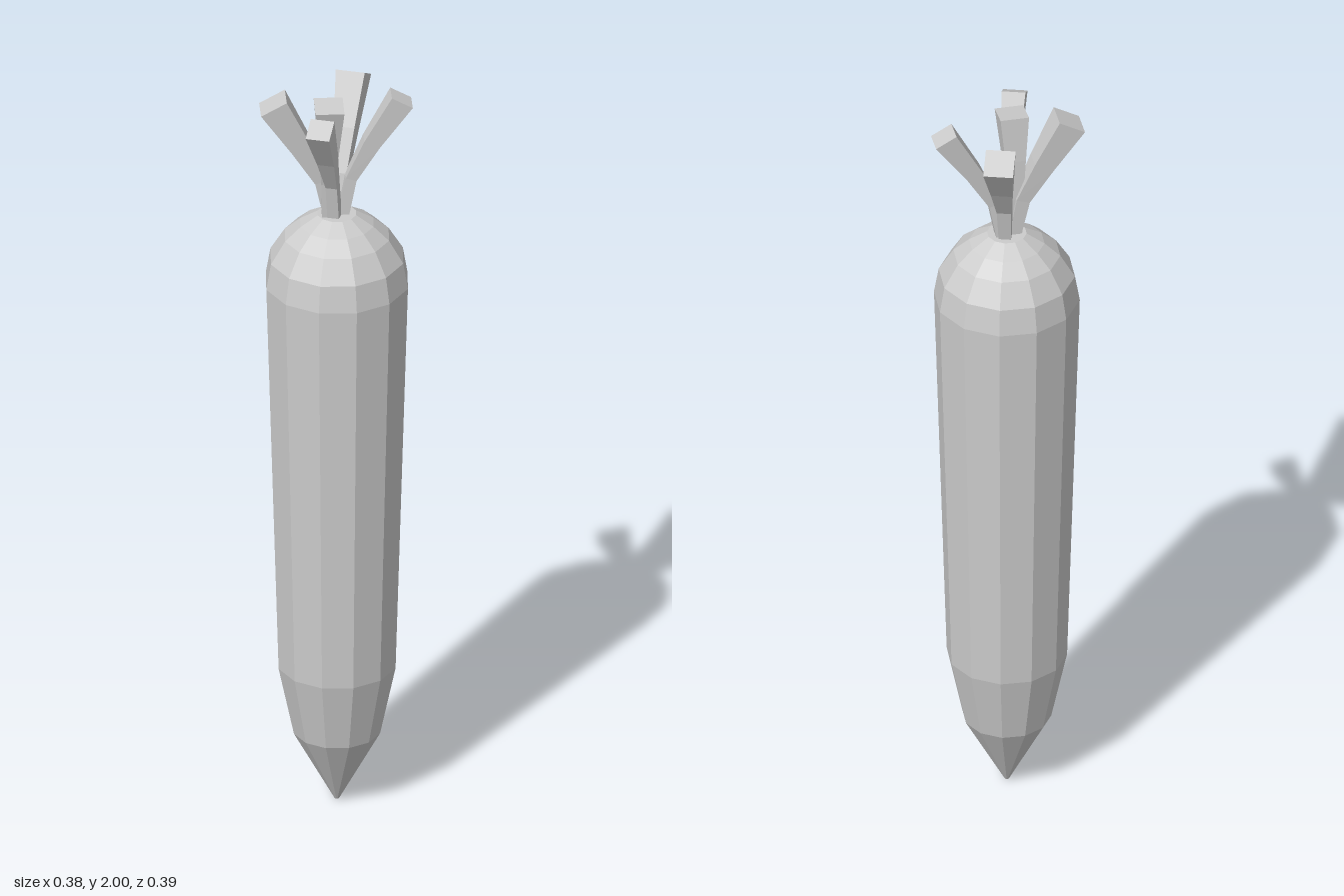
import * as THREE from 'three';

const material = new THREE.MeshStandardMaterial({ color: 0xcccccc, flatShading: true });
const rad = THREE.MathUtils.degToRad;

// Square stalk that widens and bends outward along local +x.
// Each row is [outward offset, height, width, tilt in degrees].
function makeStalk(name, yaw, rows, x = 0, z = 0) {
  const steps = rows.length - 1;
  const geometry = new THREE.BoxGeometry(1, 1, 1, 1, steps, 1);
  const p = geometry.attributes.position;
  for (let i = 0; i < p.count; i++) {
    const [out, y, width, tilt] = rows[Math.round((p.getY(i) + 0.5) * steps)];
    const across = p.getX(i) * width;
    p.setXYZ(i,
      out + across * Math.cos(rad(tilt)),
      y - across * Math.sin(rad(tilt)),
      p.getZ(i) * width);
  }
  geometry.computeVertexNormals();
  const mesh = new THREE.Mesh(geometry, material);
  mesh.name = name;
  mesh.rotation.y = rad(yaw);
  mesh.position.set(x, 0, z);
  return mesh;
}

// Rows of an outward-leaning stalk with a given tip reach and thickness
const leaning = (reach, width) => [
  [0.012, 1.64, 0.03, 8],
  [0.036, 1.76, width * 0.48, 18],
  [0.088, 1.86, width * 0.72, 28],
  [reach, 1.98, width, 29],
];

export function createModel() {
  const group = new THREE.Group();
  group.name = 'carrot';

  // Twelve-sided root: pointed tip, tapered body, domed shoulder
  const profile = [
    [0, 0], [0.006, 0.003], [0.112, 0.2], [0.152, 0.39], [0.184, 1.47],
    [0.172, 1.54], [0.135, 1.6], [0.095, 1.635], [0.05, 1.662], [0, 1.662],
  ].map(([r, y]) => new THREE.Vector2(r, y));
  const root = new THREE.Mesh(new THREE.LatheGeometry(profile, 12), material);
  root.name = 'root';
  root.position.x = 0.002;
  group.add(root);

  // Stalks fanning out from the crown
  const stalks = new THREE.Group();
  stalks.name = 'stalks';
  stalks.add(
    makeStalk('backStalk', 90, leaning(0.162, 0.075), 0.004),
    makeStalk('leftStalk', 18.5, leaning(0.164, 0.06), 0, -0.003),
    makeStalk('rightStalk', 198, leaning(0.158, 0.074), 0, 0.003),
    makeStalk('frontStalk', -90, leaning(0.165, 0.061)),
    makeStalk('middleStalk', -72, [
      [0.008, 1.64, 0.03, 4],
      [0.012, 1.76, 0.036, 6],
      [0.026, 1.87, 0.052, 8],
      [0.048, 1.99, 0.073, 8],
    ], -0.02, 0.006),
  );
  group.add(stalks);
  return group;
}
